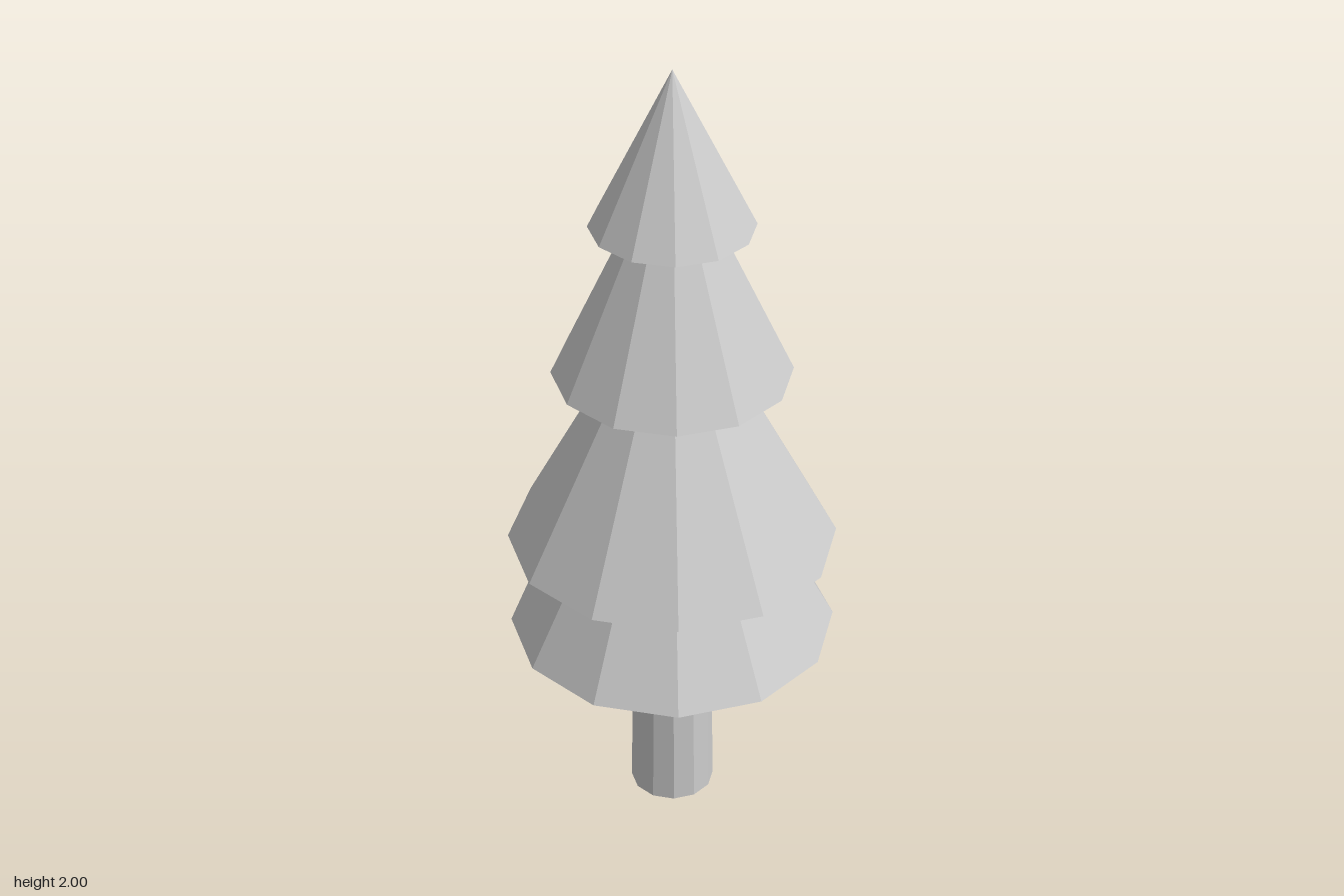
import * as THREE from 'three';

const SIDES = 12;

export function createModel() {
  const tree = new THREE.Group();
  tree.name = 'pineTree';
  const grey = new THREE.MeshStandardMaterial({ color: 0xcccccc, flatShading: true });
  grey.name = 'pale grey';

  const add = (name, geometry, y) => {
    const mesh = new THREE.Mesh(geometry, grey);
    mesh.name = name;
    mesh.position.y = y;
    tree.add(mesh);
  };

  // Slightly tapered trunk, ending just inside the lowest tier
  add('trunk', new THREE.CylinderGeometry(0.095, 0.105, 0.56, SIDES), 0.28);

  // Stacked foliage cones, lowest first: [radius, base height, tip height]
  const tiers = [
    [0.4, 0.51, 1.26],
    [0.4, 0.765, 1.51],
    [0.285, 1.23, 1.84],
    [0.193, 1.615, 2],
  ];
  tiers.forEach(([radius, base, tip], i) => {
    add(`foliageTier${i + 1}`, new THREE.ConeGeometry(radius, tip - base, SIDES), (base + tip) / 2);
  });

  return tree;
}
